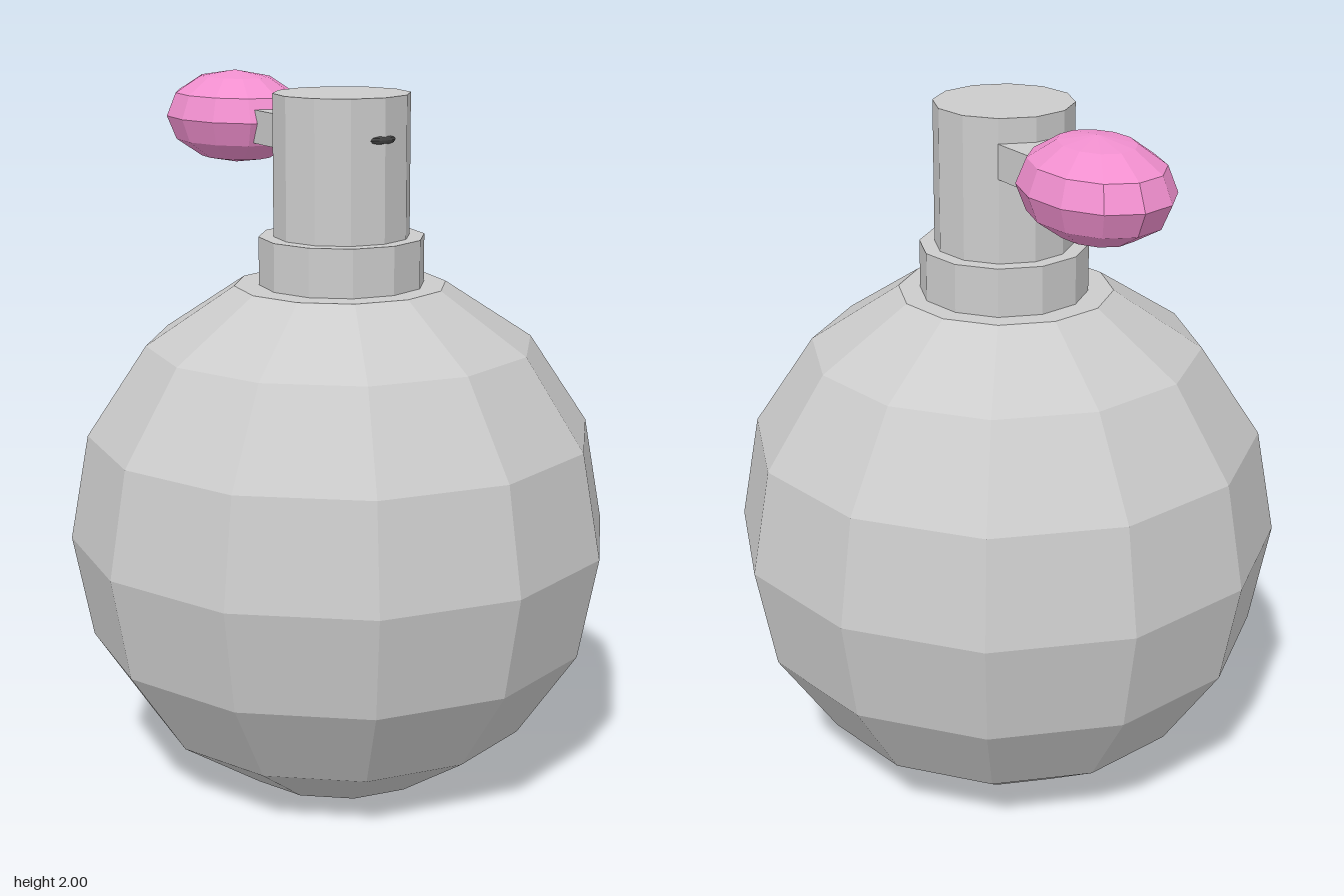
import * as THREE from 'three';

const SIDES = 12;
const AXIS_Z = -0.007; // neck and pump sit a hair behind the body axis

function flat(color = 0xcccccc) {
  return new THREE.MeshStandardMaterial({ color, flatShading: true });
}

function add(group, name, geometry, material, x, y, z) {
  const mesh = new THREE.Mesh(geometry, material);
  mesh.name = name;
  mesh.position.set(x, y, z);
  group.add(mesh);
  return mesh;
}

export function createModel() {
  const group = new THREE.Group();
  group.name = 'perfumeBottle';
  const grey = flat();

  // Faceted round body with flat base and shoulder
  const profile = [
    [0, 0], [0.3, 0], [0.55, 0.17], [0.72, 0.425], [0.775, 0.72],
    [0.72, 1.02], [0.55, 1.275], [0.3, 1.44], [0, 1.44],
  ].map(([r, y]) => new THREE.Vector2(r, y));
  add(group, 'body', new THREE.LatheGeometry(profile, SIDES), grey, 0, 0, 0);

  // Collar and pump head
  add(group, 'collar', new THREE.CylinderGeometry(0.234, 0.234, 0.145, SIDES), grey, -0.003, 1.503, AXIS_Z);
  add(group, 'pumpHead', new THREE.CylinderGeometry(0.192, 0.192, 0.4, SIDES), grey, -0.003, 1.77, AXIS_Z);

  // Small dark spray opening on the side away from the bulb
  const opening = add(group, 'sprayOpening', new THREE.SphereGeometry(1, 12, 6), flat(0x444444), 0.18, 1.857, AXIS_Z);
  opening.scale.set(0.012, 0.013, 0.043);

  // Connecting arm, narrowing in depth towards the bulb
  const arm = new THREE.BoxGeometry(0.25, 0.095, 0.2);
  const p = arm.attributes.position;
  for (let i = 0; i < p.count; i++) if (p.getX(i) < 0) p.setZ(i, p.getZ(i) * 0.64);
  arm.computeVertexNormals();
  add(group, 'bulbArm', arm, grey, -0.275, 1.855, AXIS_Z);

  // Squeeze bulb
  const bulb = add(group, 'squeezeBulb', new THREE.SphereGeometry(1, SIDES, 6), flat(0xf08fce), -0.515, 1.865, AXIS_Z + 0.004);
  bulb.scale.set(0.245, 0.135, 0.188);

  return group;
}
